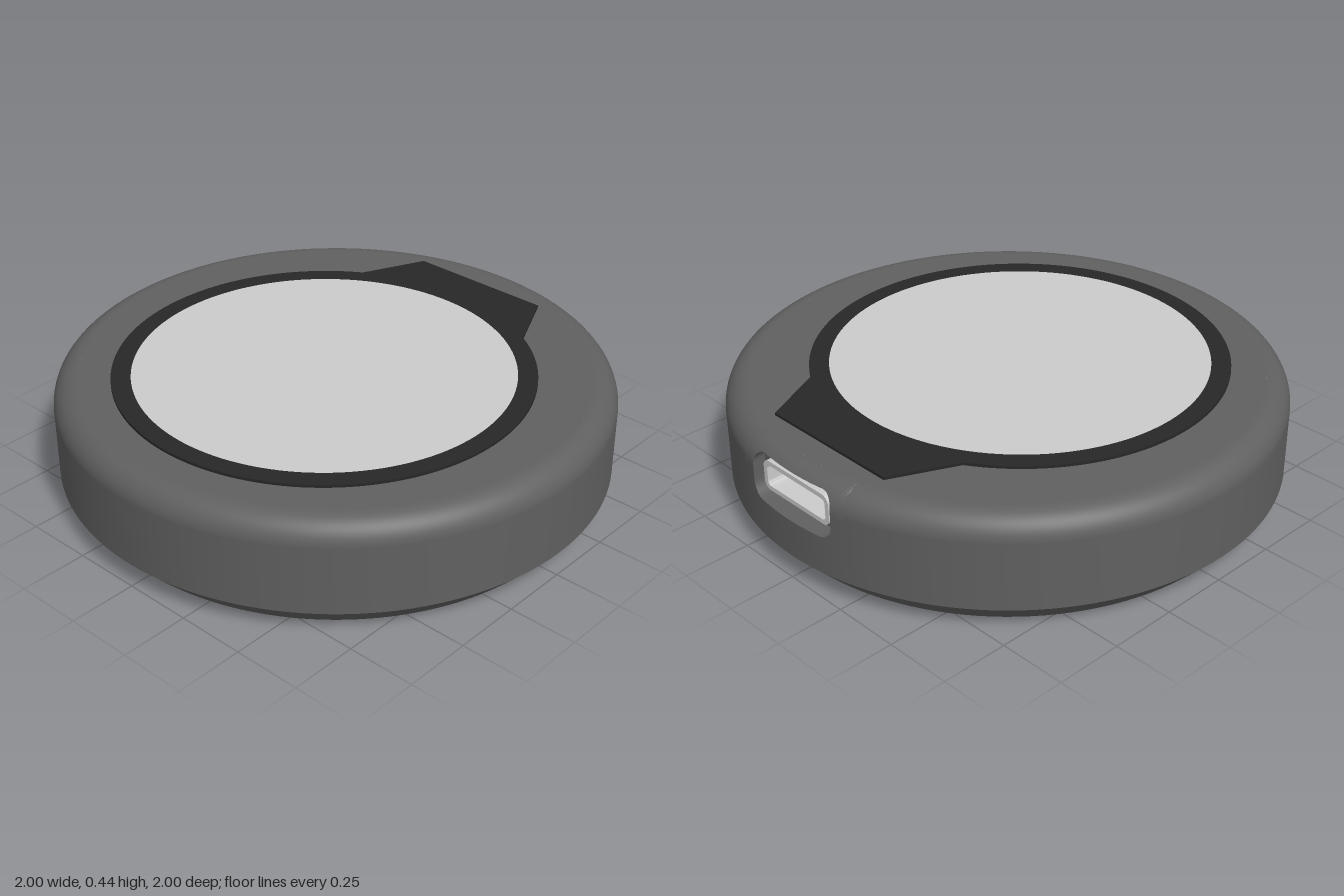
import * as THREE from 'three';
import { toCreasedNormals } from 'three/addons/utils/BufferGeometryUtils.js';

const FILLET = 0.09, WALL_TOP = 0.34, PORT_ANGLE = 0.26, PORT_Y = 0.317;
const S_MIN = 0.09, S_MAX = WALL_TOP + FILLET * Math.PI / 2;

const V = (x, y) => new THREE.Vector2(x, y);

// Radius and height of the side wall at distance s along its profile
function wall(s) {
  if (s <= WALL_TOP) return V(1, s);
  const a = (s - WALL_TOP) / FILLET;
  return V(1 - FILLET + FILLET * Math.cos(a), WALL_TOP + FILLET * Math.sin(a));
}

// Rounded rectangle loop with a fixed number of points
function loop(hw, hh, r, cy) {
  const pts = [];
  const signs = [[1, 1], [-1, 1], [-1, -1], [1, -1]];
  const corner = (k, t) => {
    const [sx, sy] = signs[k % 4], a = (k + t) * Math.PI / 2;
    return V(sx * (hw - r) + r * Math.cos(a), cy + sy * (hh - r) + r * Math.sin(a));
  };
  for (let k = 0; k < 4; k++) {
    for (let i = 0; i <= 8; i++) pts.push(corner(k, i / 8));
    const from = corner(k, 1), to = corner(k + 1, 0);
    for (let i = 1; i < 12; i++) pts.push(from.clone().lerp(to, i / 12));
  }
  return pts;
}

// Skin between successive closed rings, facing the back
function skin(rings) {
  const n = rings[0].length, index = [];
  for (let j = 0; j < rings.length - 1; j++) {
    for (let i = 0; i < n; i++) {
      const k = (i + 1) % n;
      const a = j * n + i, b = j * n + k, c = (j + 1) * n + k, d = (j + 1) * n + i;
      index.push(a, d, c, a, c, b);
    }
  }
  const geo = new THREE.BufferGeometry().setFromPoints(rings.flat());
  geo.setIndex(index);
  return toCreasedNormals(geo, 0.6);
}

const atDepth = (pts, z) => pts.map(p => new THREE.Vector3(p.x, p.y, z));

export function createModel() {
  const model = new THREE.Group();
  const casing = new THREE.MeshStandardMaterial({ color: 0x606060 });
  const black = new THREE.MeshStandardMaterial({ color: 0x272727 });
  const grey = new THREE.MeshStandardMaterial({ color: 0xcccccc });

  const add = (name, geo, mat, parent = model) => {
    const mesh = new THREE.Mesh(geo, mat);
    mesh.name = name;
    parent.add(mesh);
    return mesh;
  };

  const body = new THREE.Group();
  body.name = 'body';
  model.add(body);

  // Base with a round recess underneath and a chamfered edge
  const baseProfile = [V(0, 0.07), V(0.635, 0.07), V(0.635, 0), V(0.915, 0), V(1, 0.09)];
  add('base', toCreasedNormals(new THREE.LatheGeometry(baseProfile, 128), 0.5), casing, body);

  // Side wall with rounded top edge, left open at the back for the port
  const sideProfile = [wall(S_MIN)];
  for (let i = 0; i <= 16; i++) sideProfile.push(wall(WALL_TOP + (S_MAX - WALL_TOP) * i / 16));
  add('sideWall', new THREE.LatheGeometry(sideProfile, 128,
    Math.PI + PORT_ANGLE, 2 * (Math.PI - PORT_ANGLE)), casing, body);

  add('topFace', new THREE.LatheGeometry([V(1 - FILLET, 0.43), V(0, 0.43)], 128), casing, body);

  // Back panel: curved wall running into the rounded port pocket
  const outer = loop(PORT_ANGLE, (S_MAX - S_MIN) / 2, 0, (S_MAX + S_MIN) / 2);
  const pocket = loop(0.2, 0.085, 0.05, PORT_Y);
  const inner = pocket.map(p => {
    const s = p.y <= WALL_TOP ? p.y : WALL_TOP + FILLET * Math.asin((p.y - WALL_TOP) / FILLET);
    return V(Math.asin(p.x / wall(s).x), s);
  });
  const rings = [];
  for (let j = 0; j <= 10; j++) {
    rings.push(outer.map((o, i) => {
      const q = o.clone().lerp(inner[i], j / 10), w = wall(q.y);
      return new THREE.Vector3(w.x * Math.sin(q.x), w.y, -w.x * Math.cos(q.x));
    }));
  }
  rings.push(atDepth(pocket, -0.93), atDepth(loop(0.16, 0.045, 0.025, PORT_Y), -0.93));
  add('backPanel', skin(rings), casing, body);

  // Hollow metal socket standing in the pocket
  const shell = loop(0.168, 0.057, 0.03, PORT_Y), bore = loop(0.15, 0.04, 0.015, PORT_Y);
  add('portSocket', skin([
    atDepth(shell, -0.92), atDepth(shell, -0.96), atDepth(bore, -0.96),
    atDepth(bore, -0.75), atDepth(loop(0, 0, 0, PORT_Y), -0.75),
  ]), grey);

  // Black bezel: ring with a tapered tab towards the back
  const bezel = new THREE.Shape();
  const a = Math.atan2(0.64, 0.39);
  bezel.moveTo(0.28, 0.82);
  bezel.lineTo(-0.28, 0.82);
  bezel.absarc(0, -0.06, 0.75, Math.PI - a, 2 * Math.PI + a, false);
  bezel.closePath();
  const hole = new THREE.Path();
  hole.absarc(0, -0.06, 0.68, 0, 2 * Math.PI, true);
  bezel.holes.push(hole);
  const bezelGeo = new THREE.ExtrudeGeometry(bezel, { depth: 0.02, bevelEnabled: false, curveSegments: 64 });
  bezelGeo.rotateX(-Math.PI / 2);
  add('bezel', bezelGeo, black).position.y = 0.42;

  // Round screen set into the bezel
  add('screen', new THREE.CylinderGeometry(0.68, 0.68, 0.02, 128), grey).position.set(0, 0.43, 0.06);

  return model;
}
